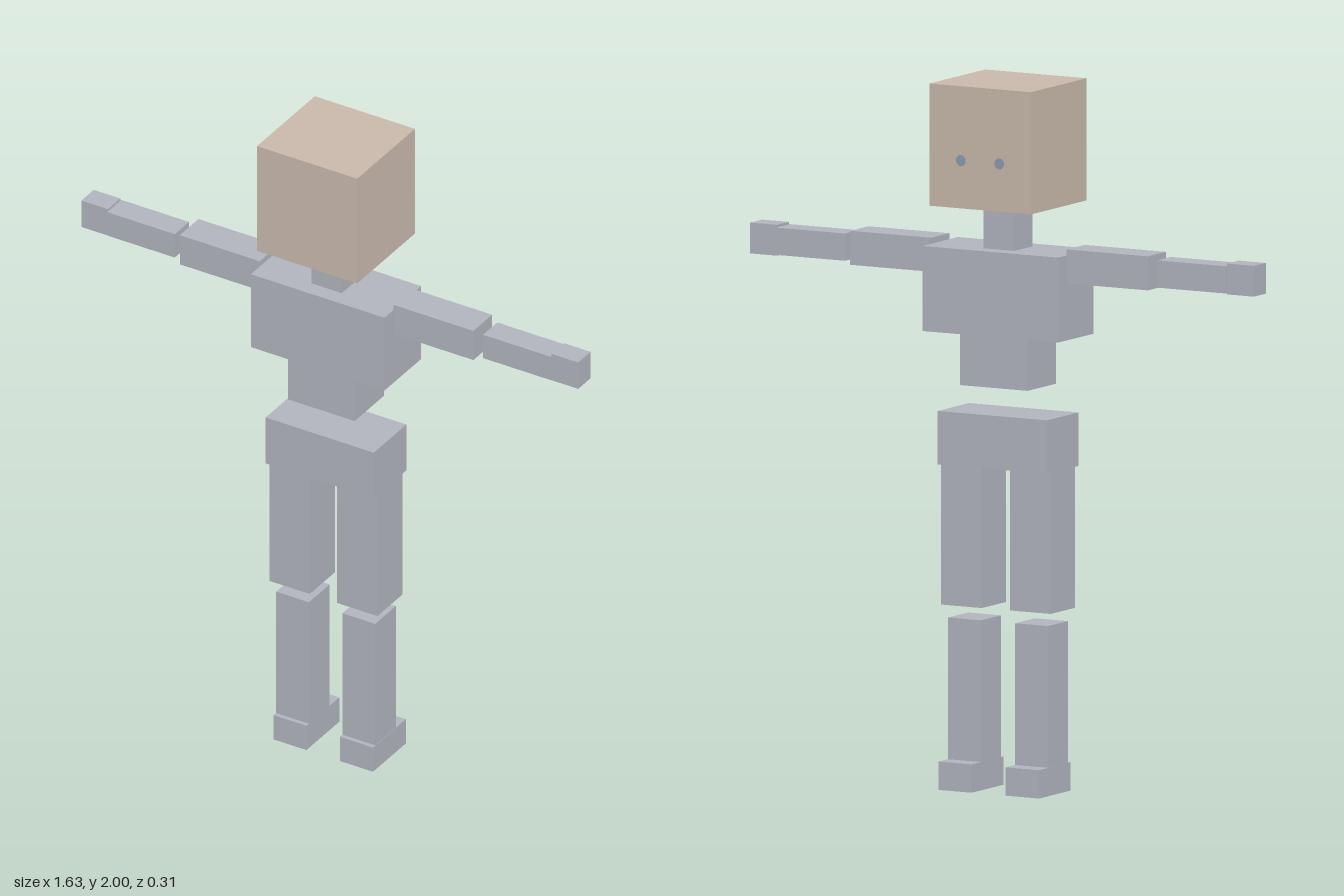
import * as THREE from 'three';

export function createModel() {
  const model = new THREE.Group();
  model.name = 'blockFigure';

  const material = (name, color) => {
    const m = new THREE.MeshStandardMaterial({ color });
    m.name = name;
    return m;
  };
  const grey = material('bodyGrey', 0xb1b4be);
  const skin = material('skinBeige', 0xc9b9ac);
  const blue = material('eyeBlue', 0x8d9ab0);

  // A box given by its limits along each axis
  const block = (name, [x0, x1], [y0, y1], [z0, z1], mat = grey) => {
    const mesh = new THREE.Mesh(new THREE.BoxGeometry(x1 - x0, y1 - y0, z1 - z0), mat);
    mesh.position.set((x0 + x1) / 2, (y0 + y1) / 2, (z0 + z1) / 2);
    mesh.name = name;
    model.add(mesh);
  };
  const around = (half) => [-half, half];

  // Head and trunk
  block('head', around(0.164), [1.655, 2], around(0.154), skin);
  block('neck', around(0.05), [1.53, 1.64], around(0.05));
  block('chest', around(0.219), [1.29, 1.53], around(0.098));
  block('belly', around(0.109), [1.143, 1.29], around(0.078));
  block('pelvis', around(0.177), [0.915, 1.066], around(0.087));

  // Limbs, left (+x) and right (-x); the toes point to -z
  for (const [side, s] of [['left', 1], ['right', -1]]) {
    const across = (a, b) => (s > 0 ? [a, b] : [-b, -a]);
    block(side + 'UpperArm', across(0.219, 0.481), [1.451, 1.547], around(0.05));
    block(side + 'Forearm', across(0.505, 0.727), [1.459, 1.536], around(0.038));
    block(side + 'Hand', across(0.727, 0.814), [1.456, 1.543], around(0.033));
    block(side + 'Thigh', across(0.045, 0.177), [0.517, 0.915], around(0.067));
    block(side + 'Shin', across(0.055, 0.162), [0.08, 0.48], around(0.055));
    block(side + 'Foot', across(0.055, 0.163), [0, 0.08], [-0.107, 0.068]);

    // Small eye disc on the -z face of the head
    const eye = new THREE.Mesh(new THREE.CircleGeometry(0.016, 12), blue);
    eye.rotation.y = Math.PI;
    eye.position.set(s * 0.062, 1.79, -0.155);
    eye.name = side + 'Eye';
    model.add(eye);
  }

  return model;
}
